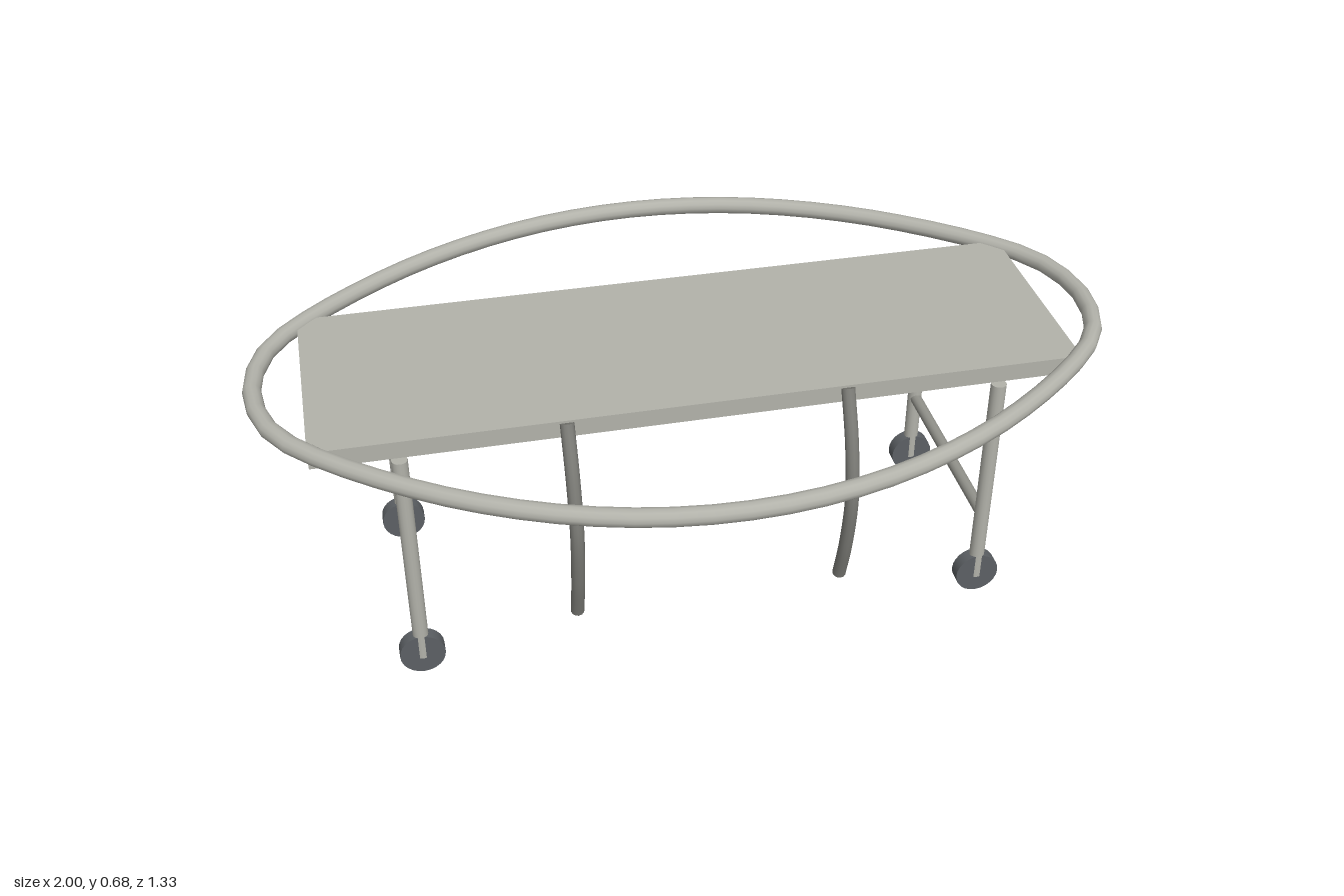
import * as THREE from 'three';

const mat = (name, color) => {
  const m = new THREE.MeshStandardMaterial({ color });
  m.name = name;
  return m;
};

export function createModel() {
  const model = new THREE.Group();
  model.name = 'rollingTable';
  const steel = mat('pale steel', 0xb2b2aa);
  const darkSteel = mat('dark steel', 0x7c7c77);
  const barSteel = mat('mid steel', 0x94948d);
  const rubber = mat('wheel rubber', 0x5c6064);

  const add = (name, geometry, material, x = 0, y = 0, z = 0) => {
    const mesh = new THREE.Mesh(geometry, material);
    mesh.name = name;
    mesh.position.set(x, y, z);
    model.add(mesh);
    return mesh;
  };

  // flat board
  add('tableTop', new THREE.BoxGeometry(1.74, 0.042, 0.54), steel, 0, 0.639, -0.004);

  // oval rail: one quarter of the outline, mirrored round
  const quarter = [[0.979, 0], [0.945, 0.155], [0.85, 0.276], [0.57, 0.485], [0.28, 0.607], [0, 0.645]];
  const flip = (sx, sz) => quarter.map(([x, z]) => new THREE.Vector3(x * sx, 0, z * sz));
  const oval = [
    ...flip(1, 1).slice(0, -1),
    ...flip(-1, 1).reverse().slice(0, -1),
    ...flip(-1, -1).slice(0, -1),
    ...flip(1, -1).reverse().slice(0, -1),
  ];
  const ovalCurve = new THREE.CatmullRomCurve3(oval, true);
  add('ovalRail', new THREE.TubeGeometry(ovalCurve, 64, 0.021, 12, true), steel, 0, 0.654, 0);

  const frontZ = 0.256, backZ = -0.252;
  for (const side of [1, -1]) {
    const label = side > 0 ? 'left' : 'right';

    // legs and wheels
    for (const [end, z] of [['Front', frontZ], ['Back', backZ]]) {
      add(label + end + 'Leg', new THREE.CylinderGeometry(0.018, 0.018, 0.565, 16), steel, side * 0.68, 0.3235, z);
      const wheel = add(label + end + 'Wheel', new THREE.CylinderGeometry(0.053, 0.053, 0.032, 24), rubber, side * 0.68, 0.053, z);
      wheel.rotation.x = Math.PI / 2;
    }

    // bar joining each pair of legs
    const bar = add(label + 'Crossbar', new THREE.CylinderGeometry(0.0145, 0.0145, frontZ - backZ, 12), barSteel,
      side * 0.68, 0.228, (frontZ + backZ) / 2);
    bar.rotation.x = Math.PI / 2;

    // bowed strut hanging from the front edge
    const path = [[0.655, 0.268], [0.54, 0.319], [0.41, 0.346], [0.26, 0.327], [0.138, 0.292]]
      .map(([y, z]) => new THREE.Vector3(0, y, z));
    const strutCurve = new THREE.CatmullRomCurve3(path);
    add(label + 'Strut', new THREE.TubeGeometry(strutCurve, 24, 0.016, 12), darkSteel, side * 0.316);

    // end caps of the strut
    for (const t of [0, 1]) {
      const cap = add(label + 'StrutCap', new THREE.CircleGeometry(0.016, 12), darkSteel, side * 0.316, path[t * 4].y, path[t * 4].z);
      const out = strutCurve.getTangent(t).multiplyScalar(t ? 1 : -1);
      cap.quaternion.setFromUnitVectors(new THREE.Vector3(0, 0, 1), out);
    }
  }
  return model;
}
